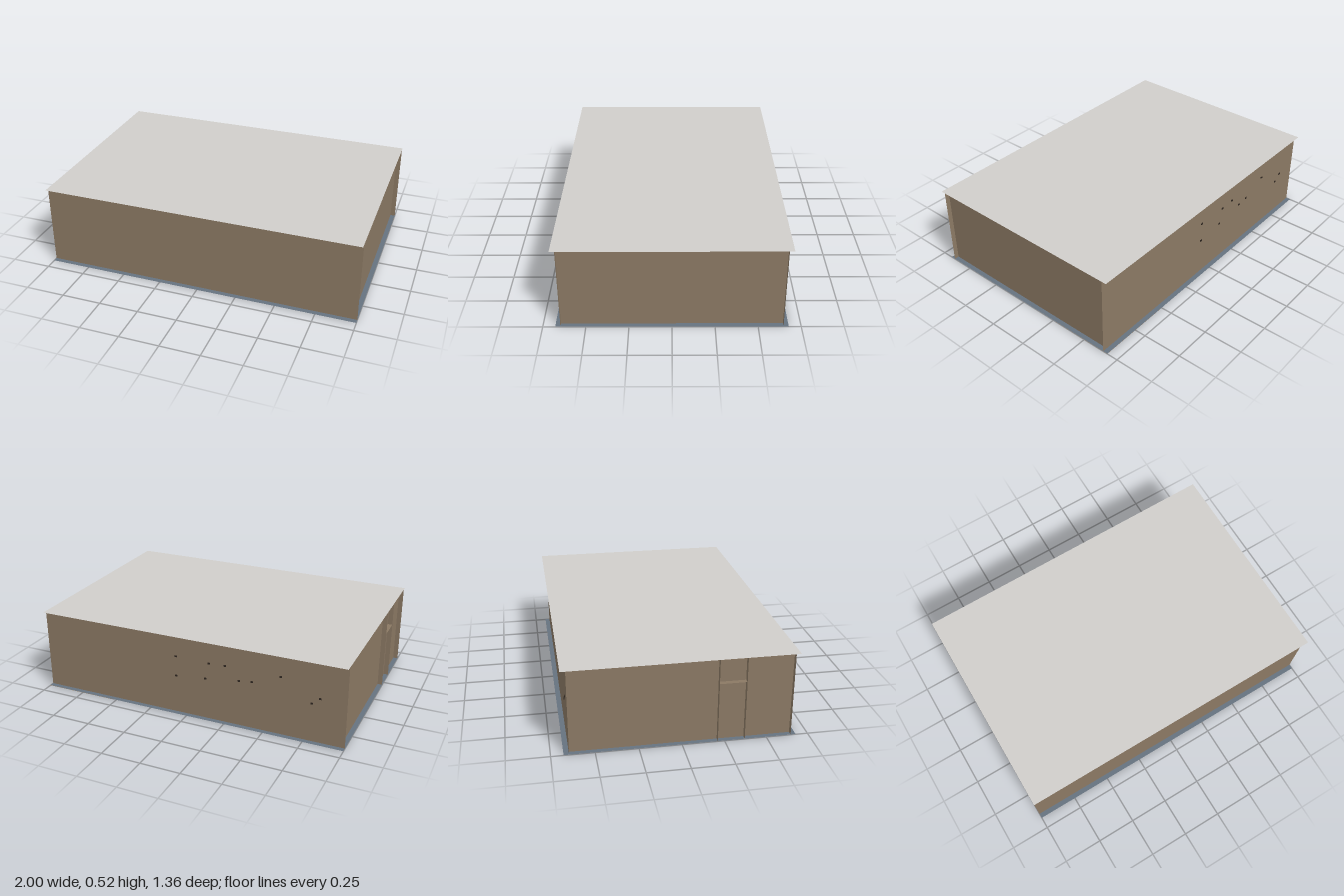
import * as THREE from 'three';

export function createModel() {
  const model = new THREE.Group();
  const mat = (name, color) => {
    const m = new THREE.MeshStandardMaterial({ color, side: THREE.DoubleSide });
    m.name = name;
    return m;
  };
  const wood = mat('brown wall', 0x8b7964);
  const roofGrey = mat('roof grey', 0xd0cecb);
  const slate = mat('slate floor', 0x66727f);
  const dark = mat('dark chip', 0x2e2620);

  // Thin sheet, turned to lie flat, face sideways or face front
  const sheet = (name, w, h, material, pos, facing = 'front') => {
    const geo = new THREE.PlaneGeometry(w, h);
    if (facing === 'up') geo.rotateX(-Math.PI / 2);
    if (facing === 'side') geo.rotateY(Math.PI / 2);
    const mesh = new THREE.Mesh(geo, material);
    mesh.name = name;
    mesh.position.set(...pos);
    model.add(mesh);
    return mesh;
  };

  const H = 0.52, depth = 1.355, wallZ = 0.647, wallX = 0.97;

  // Roof and floor sheets, overhanging the long walls
  sheet('roof', 2, depth, roofGrey, [0, H, 0], 'up');
  sheet('floor', 2, depth, slate, [0, 0.002, 0], 'up');
  sheet('cornerFloor', 0.48, 0.40, wood, [0.76, 0, -0.4775], 'up');

  // Long walls run the full width, short walls sit slightly inside
  for (const s of [1, -1]) {
    sheet(s > 0 ? 'frontWall' : 'backWall', 2, H, wood, [0, H / 2, s * wallZ]);
    sheet(s > 0 ? 'leftWall' : 'rightWall', wallZ * 2, H, wood, [s * wallX, H / 2, 0], 'side');
  }

  // Closet partitions and shelf, edges showing through the side wall
  for (const z of [0.21, 0.37]) sheet('partition', 0.4, H, wood, [-0.8, H / 2, z]);
  sheet('shelf', 0.4, 0.16, wood, [-0.8, 0.37, 0.29], 'up');

  // Tiny dark chips on the back wall
  const chips = [[0.075, 0.38], [0.075, 0.25], [-0.12, 0.27], [-0.146, 0.375], [-0.25, 0.38],
    [-0.34, 0.3], [-0.42, 0.31], [-0.6, 0.38], [-0.79, 0.25], [-0.84, 0.29]];
  for (const [x, y] of chips) {
    const chip = new THREE.Mesh(new THREE.BoxGeometry(0.014, 0.01, 0.005), dark);
    chip.name = 'wallChip';
    chip.position.set(x, y, -wallZ - 0.002);
    model.add(chip);
  }
  return model;
}
